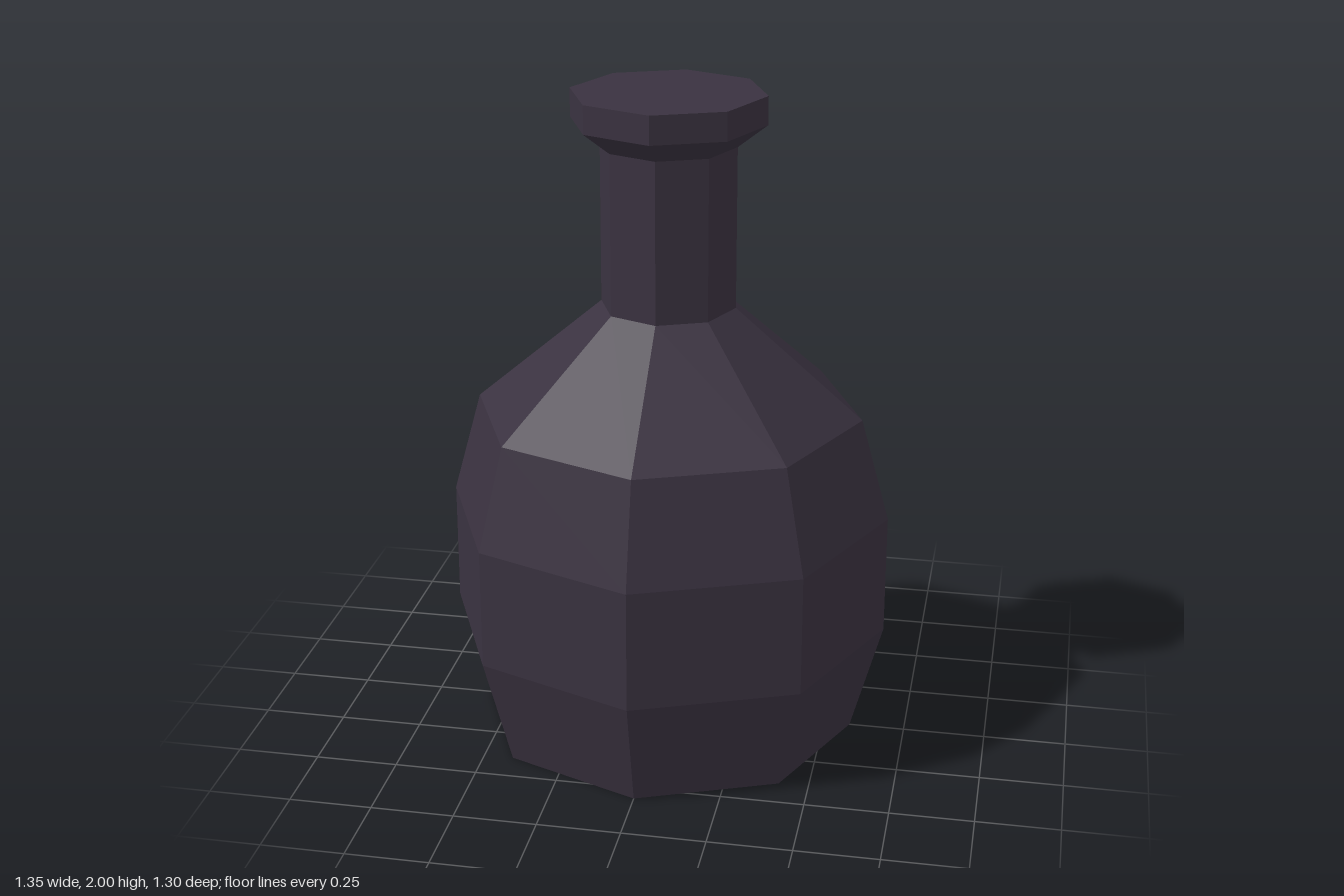
import * as THREE from 'three';

const SIDES = 8;
const DEPTH = 0.963; // the belly is slightly flattened front to back

// Faceted eight-sided turning from [radius, height] pairs, listed bottom to top
function turned(name, profile, material) {
  const points = profile.map(([r, y]) => new THREE.Vector2(r, y));
  const geometry = new THREE.LatheGeometry(points, SIDES).toNonIndexed();
  geometry.computeVertexNormals();
  const mesh = new THREE.Mesh(geometry, material);
  mesh.name = name;
  return mesh;
}

export function createModel() {
  const group = new THREE.Group();
  group.name = 'bottle';
  const darkGlass = new THREE.MeshStandardMaterial({ color: 0x3a3240 });
  darkGlass.name = 'dark plum glass';

  // Belly with flat base and sloping shoulder
  const body = turned('body', [
    [0, 0], [0.58, 0], [0.675, 0.345], [0.675, 0.715], [0.588, 1.03], [0.203, 1.36],
  ], darkGlass);

  // Flatten the belly, leaving the ring that meets the neck round
  const position = body.geometry.attributes.position;
  for (let i = 0; i < position.count; i++) {
    if (position.getY(i) < 1.3) position.setZ(i, position.getZ(i) * DEPTH);
  }
  body.geometry.computeVertexNormals();

  const neck = turned('neck', [[0.203, 1.36], [0.203, 1.847]], darkGlass);

  // Flared lip with a closed top
  const lip = turned('lip', [[0.203, 1.847], [0.29, 1.915], [0.29, 2], [0, 2]], darkGlass);

  group.add(body, neck, lip);
  return group;
}
